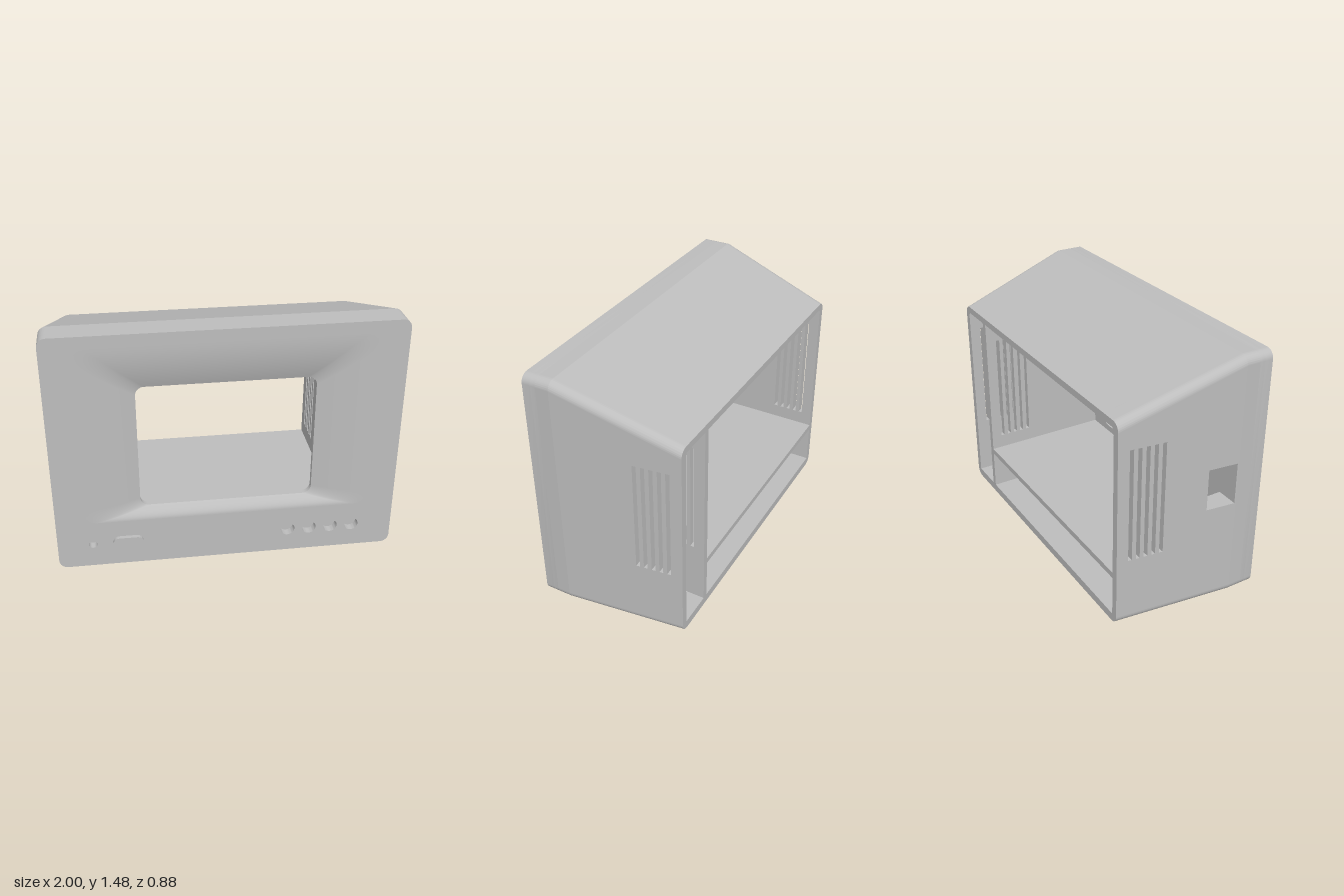
import * as THREE from 'three';
import { toCreasedNormals } from 'three/addons/utils/BufferGeometryUtils.js';

const BACK = -0.44, BEND = 0.26, LIP = 0.34, FRONT = 0.42, R = 0.05;
const INNER_X = 0.87, CEILING = 1.21, FLOOR = 0.05;
// outer half width and height of the casing at depth z
const taper = (z) => Math.max(0, (BEND - z) / (BEND - BACK));
const W = (z) => 1 - 0.09 * taper(z);
const H = (z) => 1.475 - 0.225 * taper(z);

const poly = (pts) => new THREE.Shape(pts.map(([a, b]) => new THREE.Vector2(a, b)));
const rect = (a0, b0, a1, b1) => poly([[a0, b0], [a1, b0], [a1, b1], [a0, b1]]);

function roundedPoints(x0, y0, x1, y1, r, n = 8) {
  const pts = [];
  [[x1 - r, y1 - r], [x0 + r, y1 - r], [x0 + r, y0 + r], [x1 - r, y0 + r]].forEach(([cx, cy], k) => {
    for (let i = 0; i <= n; i++) {
      const a = (k + i / n) * Math.PI / 2;
      pts.push([cx + r * Math.cos(a), cy + r * Math.sin(a)]);
    }
  });
  return pts;
}

function circle(x, y, r) {
  const s = new THREE.Shape();
  s.absarc(x, y, r, 0, Math.PI * 2, false);
  return s;
}

// extrude a shape by one unit, then place every corner with map(a, b, w)
function panel(shape, holes, map, flip = false) {
  shape.holes = holes;
  const geo = new THREE.ExtrudeGeometry(shape, { depth: 1, bevelEnabled: false, curveSegments: 16 });
  const p = geo.attributes.position;
  for (let i = 0; i < p.count; i++) p.setXYZ(i, ...map(p.getX(i), p.getY(i), p.getZ(i)));
  if (flip) {
    for (let i = 0; i < p.count; i += 3) {
      const a = [p.getX(i), p.getY(i), p.getZ(i)];
      p.setXYZ(i, p.getX(i + 2), p.getY(i + 2), p.getZ(i + 2));
      p.setXYZ(i + 2, ...a);
    }
  }
  return toCreasedNormals(geo, 0.5);
}

const slab = (shape, holes, z0, z1) => panel(shape, holes, (a, b, w) => [a, b, z0 + (z1 - z0) * w]);

// sweeping concave bezel between the front face and the screen opening
function bezelGeometry(steps = 12) {
  const pos = [], idx = [];
  let n = 0;
  for (let s = 0; s <= steps; s++) {
    const t = s / steps, mix = (a, b) => a + (b - a) * t;
    const hw = mix(0.84, 0.505);
    const loop = roundedPoints(-hw, mix(0.3, 0.37), hw, mix(1.4, 1.14), mix(0.08, 0.05));
    n = loop.length;
    loop.forEach(([x, y]) => pos.push(x, y, FRONT - 0.05 * t * t));
  }
  for (let s = 0; s < steps; s++) {
    for (let i = 0; i < n; i++) {
      const a = s * n + i, b = s * n + (i + 1) % n;
      idx.push(a, b, b + n, a, b + n, a + n);
    }
  }
  const geo = new THREE.BufferGeometry();
  geo.setAttribute('position', new THREE.Float32BufferAttribute(pos, 3));
  geo.setIndex(idx);
  geo.computeVertexNormals();
  return geo;
}

export function createModel() {
  const model = new THREE.Group();
  const grey = new THREE.MeshStandardMaterial({ color: 0xbdbdbd, side: THREE.DoubleSide });
  grey.name = 'casing grey';
  const add = (name, geo) => {
    const mesh = new THREE.Mesh(geo, grey);
    mesh.name = name;
    model.add(mesh);
    return mesh;
  };
  const box = (name, x0, y0, z0, x1, y1, z1) => {
    add(name, new THREE.BoxGeometry(x1 - x0, y1 - y0, z1 - z0))
      .position.set((x0 + x1) / 2, (y0 + y1) / 2, (z0 + z1) / 2);
  };

  // ventilation slots
  const sideSlots = () => [0, 1, 2, 3, 4].map((i) => {
    const z = -0.184 - 0.045 * i;
    return rect(z - 0.011, 0.415, z + 0.011, 1.09);
  });
  const topSlots = () => [0, 1, 2, 3, 4].map((i) => {
    const z = -0.19 - 0.045 * i;
    return poly(roundedPoints(-0.78, z - 0.014, 0.775, z + 0.014, 0.01, 3));
  });

  // casing: a tapered rear section and a straight front section
  [[BACK, BEND, true], [BEND, LIP, false]].forEach(([z0, z1, rear]) => {
    const label = rear ? 'rear' : 'front';
    [1, -1].forEach((side) => {
      const holes = rear ? sideSlots() : [];
      if (rear && side < 0) holes.push(rect(0.08, 0.61, 0.25, 0.86)); // side port
      const wall = poly([[z0, R], [z1, R], [z1, H(z1) - R], [z0, H(z0) - R]]);
      add(`${label}${side > 0 ? 'Left' : 'Right'}Wall`, panel(wall, holes,
        (z, y, w) => [side * (w > 0.5 ? W(z) : INNER_X), y, z], side > 0));
      // rounded long edges
      [true, false].forEach((top) => {
        const wedge = new THREE.Shape();
        wedge.moveTo(0, 0);
        wedge.lineTo(R, 0);
        wedge.absarc(0, 0, R, 0, Math.PI / 2, false);
        wedge.lineTo(0, 0);
        add(`${label}${top ? 'Top' : 'Bottom'}Edge`, panel(wedge, [], (a, b, w) => {
          const z = z0 + (z1 - z0) * w;
          return [side * (W(z) - R + a), top ? H(z) - R + b : R - b, z];
        }, (side > 0) !== top));
      });
    });
    const outline = () => poly([[R - W(z0), z0], [W(z0) - R, z0], [W(z1) - R, z1], [R - W(z1), z1]]);
    add(`${label}Roof`, panel(outline(), rear ? topSlots() : [],
      (x, z, w) => [x, w > 0.5 ? H(z) : CEILING, z], true));
    add(`${label}Floor`, panel(outline(), rear ? [rect(-0.1, -0.1, 0.09, 0.075)] : [],
      (x, z, w) => [x, FLOOR * w, z], true));
  });

  // front face with blind control holes, and the screen lip behind it
  const face = () => poly(roundedPoints(-1, 0, 1, 1.475, R));
  const controls = [0.365, 0.495, 0.625, 0.755].map((x) => circle(x, 0.152, 0.042));
  controls.push(circle(-0.795, 0.152, 0.025));
  controls.push(poly(roundedPoints(-0.84, 0.3, 0.84, 1.4, 0.08)));
  add('frontFace', slab(face(), controls, 0.37, FRONT));
  add('screenLip', slab(face(), [poly(roundedPoints(-0.505, 0.37, 0.505, 1.14, 0.05))], LIP, 0.37));
  add('screenBezel', bezelGeometry());
  add('innerFrontWall', slab(rect(-0.9, 0.03, 0.9, 1.3), [rect(-0.63, 0.295, 0.63, CEILING)], 0.28, LIP));

  // power button
  add('powerButton', slab(poly(roundedPoints(-0.675, 0.11, -0.5, 0.195, 0.035)), [], 0.38, 0.443));

  // inner partition and shelf
  add('partition', panel(rect(BACK, FLOOR, LIP, CEILING), sideSlots(),
    (z, y, w) => [0.63 + 0.035 * w, y, z], true));
  box('shelf', -INNER_X, 0.295, BACK, 0.64, 0.33, LIP);

  // socket housing around the opening in the floor
  add('socketHousing', panel(rect(-0.165, -0.14, 0.155, 0.115), [rect(-0.1, -0.1, 0.09, 0.075)],
    (x, z, w) => [x, FLOOR + 0.15 * w, z], true));
  box('socketLid', -0.165, 0.2, -0.14, 0.155, 0.22, 0.115);

  return model;
}
